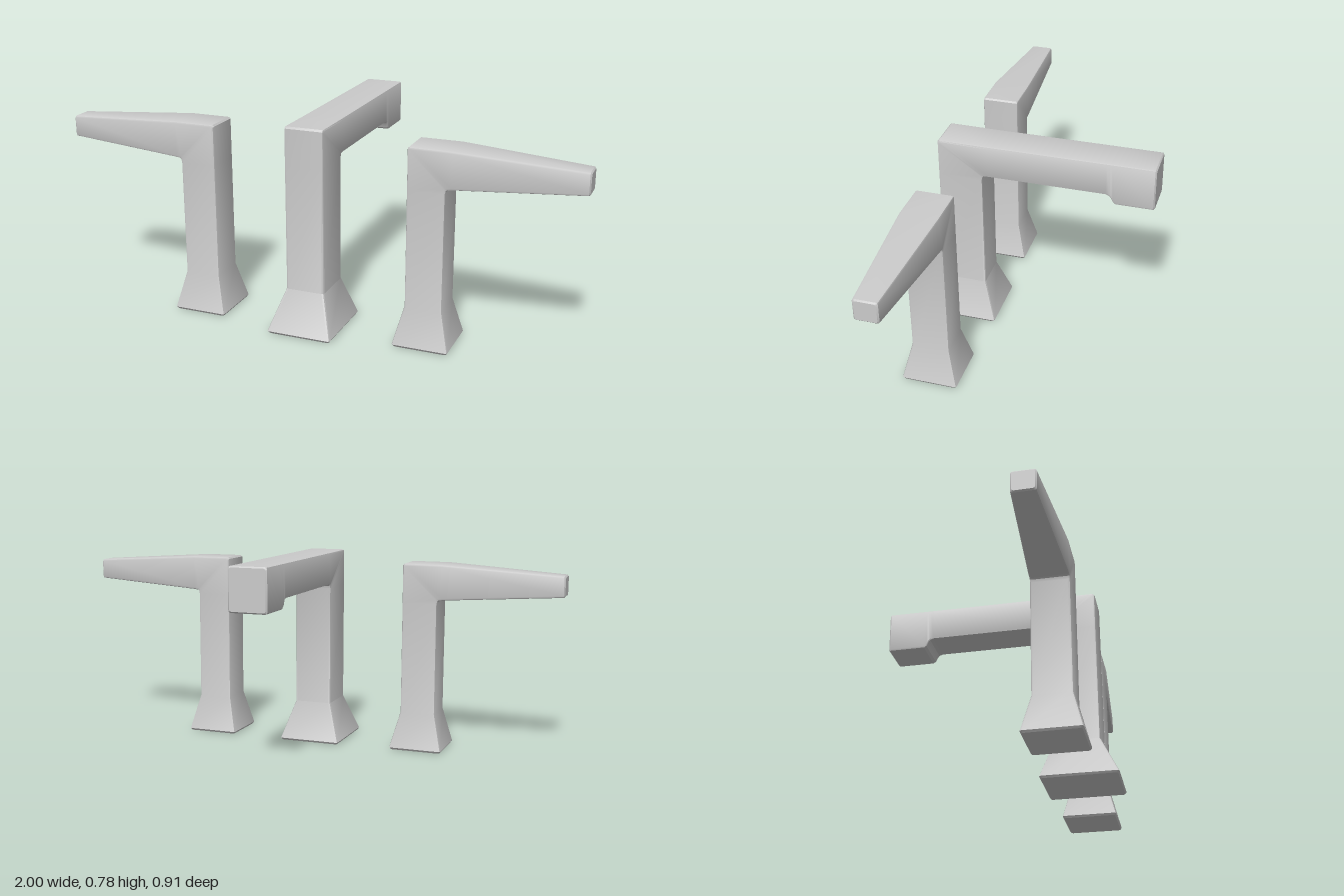
import * as THREE from 'three';
import { toCreasedNormals } from 'three/addons/utils/BufferGeometryUtils.js';

const R = 0.008; // edge rounding

// Rounded rectangle ring spanning profile points a -> b, with half width w across
function ring([au, ay, bu, by, w]) {
  const du = bu - au, dy = by - ay;
  const t = R / Math.max(Math.abs(du), Math.abs(dy));
  const corners = [[t, 1, 2], [1 - t, 1, 1], [1 - t, -1, 0], [t, -1, 3]]; // position, side, quarter turn
  const points = [];
  for (const [s, side, quarter] of corners) {
    for (let k = 0; k < 3; k++) {
      // angle runs counterclockwise around the ring
      const start = { 2: Math.PI, 1: 1.5 * Math.PI, 0: 0, 3: 0.5 * Math.PI }[quarter];
      const angle = start + k * Math.PI / 4;
      const f = s + t * Math.cos(angle);
      points.push([au + du * f, ay + dy * f, side * (w - R) - R * Math.sin(angle)]);
    }
  }
  return points;
}

// Skin a list of sections and close both ends
function loft(sections) {
  const rings = sections.map(ring);
  const n = rings[0].length;
  const positions = [], index = [];
  rings.flat().forEach((p) => positions.push(...p));
  for (let j = 0; j < rings.length - 1; j++) {
    for (let i = 0; i < n; i++) {
      const a = j * n + i, b = j * n + (i + 1) % n;
      index.push(a, b, b + n, a, b + n, a + n);
    }
  }
  const last = (rings.length - 1) * n;
  for (let i = 1; i < n - 1; i++) {
    index.push(0, i + 1, i, last, last + i, last + i + 1);
  }
  const geometry = new THREE.BufferGeometry();
  geometry.setAttribute('position', new THREE.Float32BufferAttribute(positions, 3));
  geometry.setIndex(index);
  return toCreasedNormals(geometry, 0.5);
}

export function createModel() {
  const group = new THREE.Group();
  const material = new THREE.MeshStandardMaterial({ color: 0xcccccc });
  const add = (name, geometry, z, turn) => {
    const mesh = new THREE.Mesh(geometry, material);
    mesh.name = name;
    mesh.position.z = z;
    mesh.rotation.y = turn;
    group.add(mesh);
  };

  // Lever handle: flared foot, square column, mitred bend, tapering lever
  // Each section: outer u, y, inner u, y, half width
  const handle = loft([
    [0.345, 0, 0.545, 0, 0.103],
    [0.34, 0.008, 0.55, 0.008, 0.108],
    [0.375, 0.15, 0.515, 0.15, 0.073],
    [0.375, 0.59, 0.515, 0.59, 0.073],
    [0.375, 0.739, 0.518, 0.6, 0.073],
    [0.381, 0.745, 0.523, 0.604, 0.073],
    [0.535, 0.745, 0.535, 0.606, 0.073],
    [0.995, 0.716, 0.995, 0.634, 0.044],
    [1.0, 0.711, 1.0, 0.639, 0.039],
  ]);
  add('leftHandle', handle, 0.28, 0);
  add('rightHandle', handle, 0.28, Math.PI);

  // Spout: flared foot, column, long arm with a dropped outlet at its end
  const spout = loft([
    [-0.45, 0, -0.165, 0, 0.12],
    [-0.455, 0.008, -0.16, 0.008, 0.125],
    [-0.385, 0.16, -0.21, 0.16, 0.075],
    [-0.385, 0.635, -0.21, 0.635, 0.075],
    [-0.385, 0.773, -0.207, 0.645, 0.075],
    [-0.378, 0.78, -0.202, 0.649, 0.075],
    [-0.19, 0.78, -0.19, 0.65, 0.075],
    [0.27, 0.78, 0.27, 0.65, 0.075],
    [0.283, 0.78, 0.283, 0.645, 0.075],
    [0.291, 0.78, 0.291, 0.635, 0.075],
    [0.298, 0.78, 0.298, 0.62, 0.075],
    [0.308, 0.78, 0.308, 0.613, 0.075],
    [0.45, 0.78, 0.45, 0.613, 0.075],
    [0.455, 0.775, 0.455, 0.618, 0.07],
  ]);
  add('spout', spout, 0, Math.PI / 2);

  return group;
}
